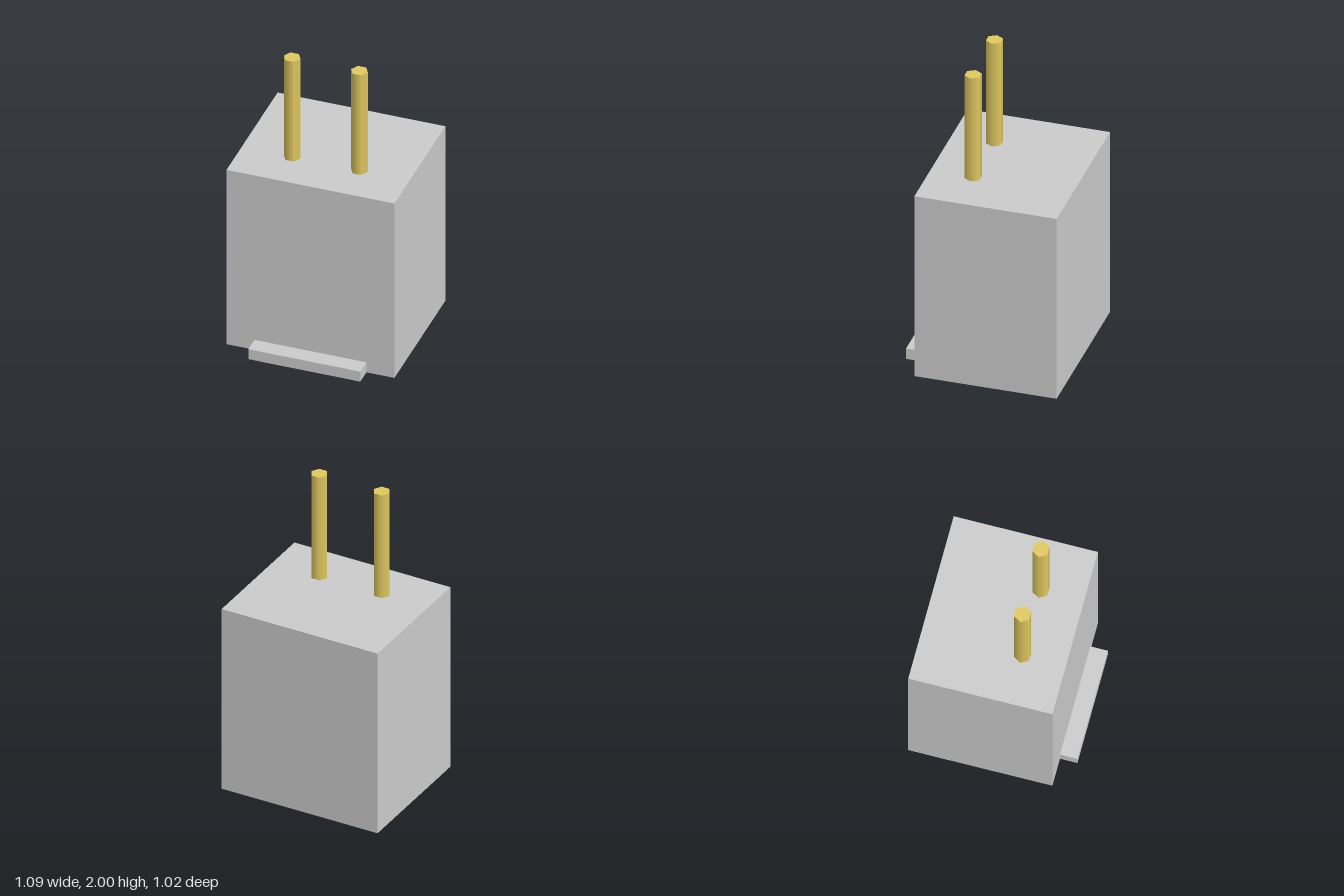
import * as THREE from 'three';

export function createModel() {
  const model = new THREE.Group();
  const grey = new THREE.MeshStandardMaterial({ color: 0xcccccc });
  const gold = new THREE.MeshStandardMaterial({ color: 0xe0c860 });

  const add = (name, geometry, material, x, y, z) => {
    const mesh = new THREE.Mesh(geometry, material);
    mesh.name = name;
    mesh.position.set(x, y, z);
    model.add(mesh);
  };

  // Main block, set slightly back to leave room for the tab
  const bodyHeight = 1.273, front = 0.399, back = -0.509;
  add('body', new THREE.BoxGeometry(1.088, bodyHeight, front - back), grey,
    0, bodyHeight / 2, (front + back) / 2);

  // Low tab along the bottom of the front face
  const tabHeight = 0.073, tabDepth = 0.11;
  add('frontTab', new THREE.BoxGeometry(0.726, tabHeight, tabDepth), grey,
    0, tabHeight / 2, front + tabDepth / 2);

  // Two six-sided pins with corners pointing left and right
  const pinHeight = 2 - bodyHeight;
  const pin = new THREE.CylinderGeometry(0.054, 0.054, pinHeight, 6).rotateY(Math.PI / 2);
  for (const [name, side] of [['leftPin', 1], ['rightPin', -1]]) {
    add(name, pin, gold, side * 0.218, bodyHeight + pinHeight / 2, 0.126);
  }

  return model;
}
